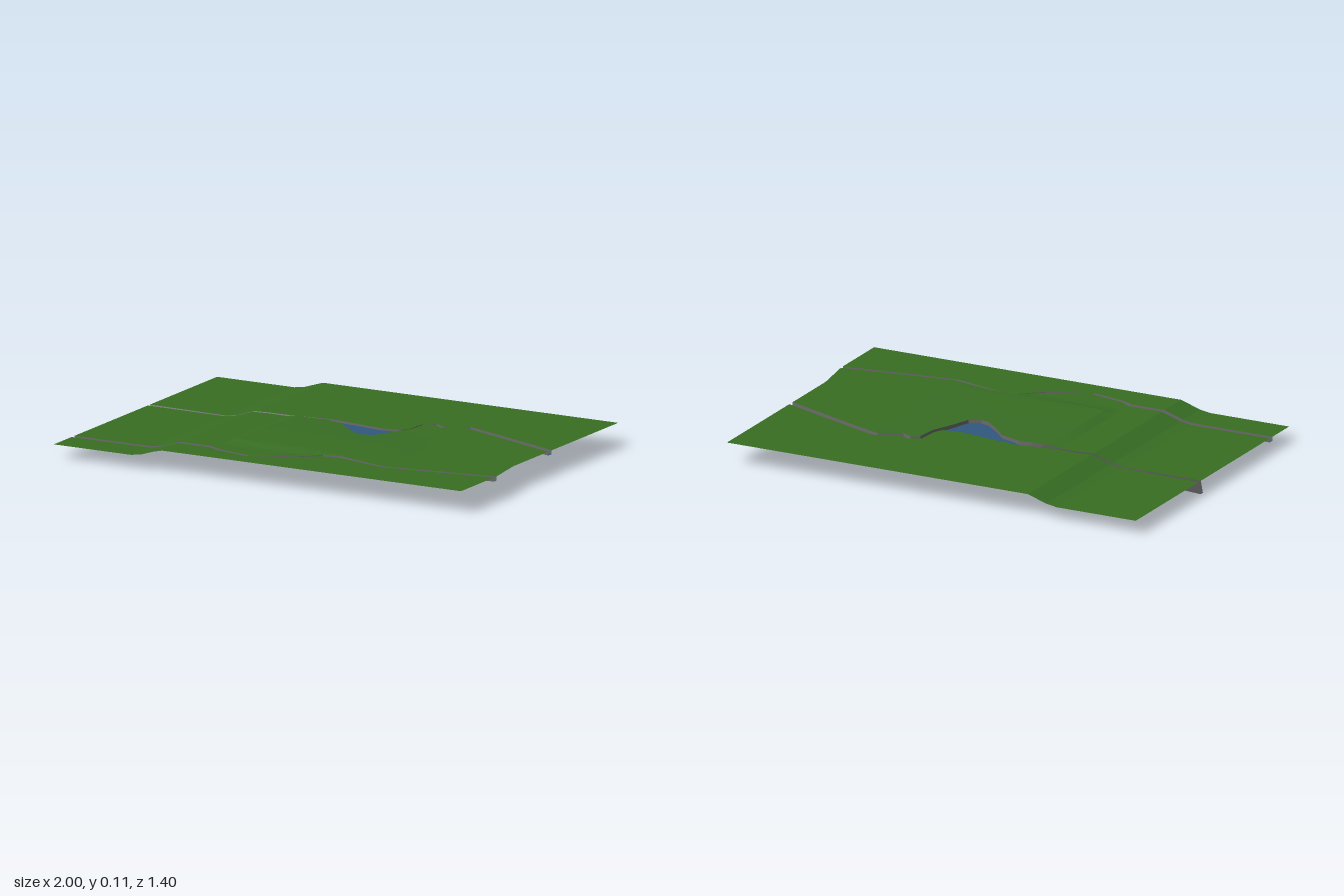
import * as THREE from 'three';

const flat = (color, name) => {
  const m = new THREE.MeshStandardMaterial({ color, flatShading: true, side: THREE.DoubleSide });
  m.name = name;
  return m;
};

// Piecewise linear interpolation through [x, value] pairs
function along(keys, x) {
  if (x <= keys[0][0]) return keys[0][1];
  for (let i = 1; i < keys.length; i++) {
    const [x0, a] = keys[i - 1], [x1, b] = keys[i];
    if (x <= x1) return a + (b - a) * (x - x0) / (x1 - x0);
  }
  return keys[keys.length - 1][1];
}

// Stream banks as [x, z]
const upperBack = [[-1, -0.125], [-0.6, -0.115], [-0.5, -0.113], [-0.4, -0.123], [-0.3, -0.123], [-0.13, -0.15],
  [0, -0.135], [0.14, -0.113], [0.235, -0.125], [0.254, -0.17], [0.26, -0.262], [0.31, -0.295], [0.36, -0.27],
  [0.46, -0.322], [1, -0.13]];
const upperFront = [[-1, -0.105], [-0.6, -0.1], [-0.5, -0.098], [-0.4, -0.108], [-0.3, -0.105], [-0.13, -0.113],
  [-0.03, -0.08], [0.04, -0.01], [0.1, 0.04], [0.14, 0.05], [0.19, 0.03], [0.22, -0.05], [0.25, -0.115],
  [0.268, -0.16], [0.275, -0.25], [0.31, -0.272], [0.36, -0.243], [0.46, -0.292], [1, -0.1]];
const lowerMid = [[-1, 0.535], [-0.32, 0.535], [-0.27, 0.565], [-0.11, 0.597], [0.08, 0.515], [0.17, 0.44],
  [0.25, 0.43], [0.33, 0.447], [0.49, 0.485], [1, 0.405]];
const lowerHalf = [[-1, 0.0125], [-0.32, 0.0125], [-0.27, 0.009], [0.3, 0.007], [0.45, 0.008], [1, 0.01]];

// Ground profile, the low hill on the middle ground, and the bed of the upper stream
const ground = [[-1, 0.06], [-0.62, 0.06], [-0.57, 0.068], [-0.48, 0.097], [1, 0.097]];
const hillX = [[-0.32, 0], [-0.27, 1], [0.05, 0.9], [0.27, 0.6], [0.5, 0]];
const hillZ = [[-0.1, 0.5], [0.17, 1], [0.4, 0.9], [0.46, 0]];
const upperBed = [[-1, 0], [-0.62, 0.02], [-0.45, 0.035], [-0.32, 0.04], [-0.16, 0.08], [-0.1, 0.087],
  [0.2, 0.088], [0.27, 0.08], [1, 0.08]];
const rightEdge = [[0.2, 0.97], [0.4, 1]];

// Columns at every bend plus an even spacing
const bends = [upperBack, upperFront, lowerMid, lowerHalf, ground, hillX, upperBed].flat().map(p => p[0]);
for (let i = 0; i <= 40; i++) bends.push(-1 + i * 0.05);
const columns = [...new Set(bends.map(x => +x.toFixed(3)))].sort((a, b) => a - b);

// The right-hand border steps in towards the back
function place(x, y, z) {
  const edge = along(rightEdge, z);
  return [x > 0.6 ? 0.6 + (x - 0.6) * (edge - 0.6) / 0.4 : x, y, z];
}

// Surface between two lines, each given as x -> [y, z]
function sheet(name, material, from, to, rows = 1, lift = () => 0) {
  const pos = [], index = [], n = rows + 1;
  columns.forEach((x, i) => {
    const a = from(x), b = to(x);
    for (let j = 0; j < n; j++) {
      const t = j / rows, z = a[1] + (b[1] - a[1]) * t;
      pos.push(...place(x, a[0] + (b[0] - a[0]) * t + lift(x, z), z));
      if (i && j) {
        const p = (i - 1) * n + j - 1, q = p + n;
        index.push(p, p + 1, q, q, p + 1, q + 1);
      }
    }
  });
  const g = new THREE.BufferGeometry();
  g.setAttribute('position', new THREE.Float32BufferAttribute(pos, 3));
  g.setIndex(index);
  g.computeVertexNormals();
  const mesh = new THREE.Mesh(g, material);
  mesh.name = name;
  return mesh;
}

export function createModel() {
  const grass = flat(0x386e23, 'grass green');
  const water = flat(0x325780, 'water blue');
  const stone = flat(0x6b6b6b, 'bank grey');
  const model = new THREE.Group();
  model.name = 'landscape';

  const level = x => along(ground, x);
  const hill = (x, z) => 0.012 * along(hillX, x) * along(hillZ, z);
  const lineZ = fn => x => [level(x), fn(x)];
  const ub = lineZ(x => along(upperBack, x));
  const uf = lineZ(x => along(upperFront, x));
  const lb = lineZ(x => along(lowerMid, x) - along(lowerHalf, x));
  const lf = lineZ(x => along(lowerMid, x) + along(lowerHalf, x));

  // Three grass fields separated by the streams
  model.add(
    sheet('backField', grass, lineZ(() => -0.7), ub, 6),
    sheet('middleField', grass, uf, lb, 16, hill),
    sheet('frontField', grass, lf, lineZ(() => 0.7), 4),
  );

  // Each stream has two banks and a water bed
  function stream(name, back, front, bed, lean) {
    const down = line => x => {
      const [y, z] = line(x);
      return [bed(x), z + lean * Math.max(0, y - bed(x) - 0.02)];
    };
    const raised = x => { const [y, z] = front(x); return [y + (lean ? hill(x, z) : 0), z]; };
    const raisedBack = x => { const [y, z] = back(x); return [y + (lean ? 0 : hill(x, z)), z]; };
    const group = new THREE.Group();
    group.name = name;
    group.add(
      sheet('backBank', stone, raisedBack, down(back)),
      sheet('waterBed', water, down(back), down(front)),
      sheet('frontBank', stone, down(front), raised),
    );
    model.add(group);
  }
  stream('upperStreamAndPond', ub, uf, x => along(upperBed, x), 0.45);
  stream('lowerStream', lb, lf, x => level(x) - 0.018, 0);
  return model;
}
